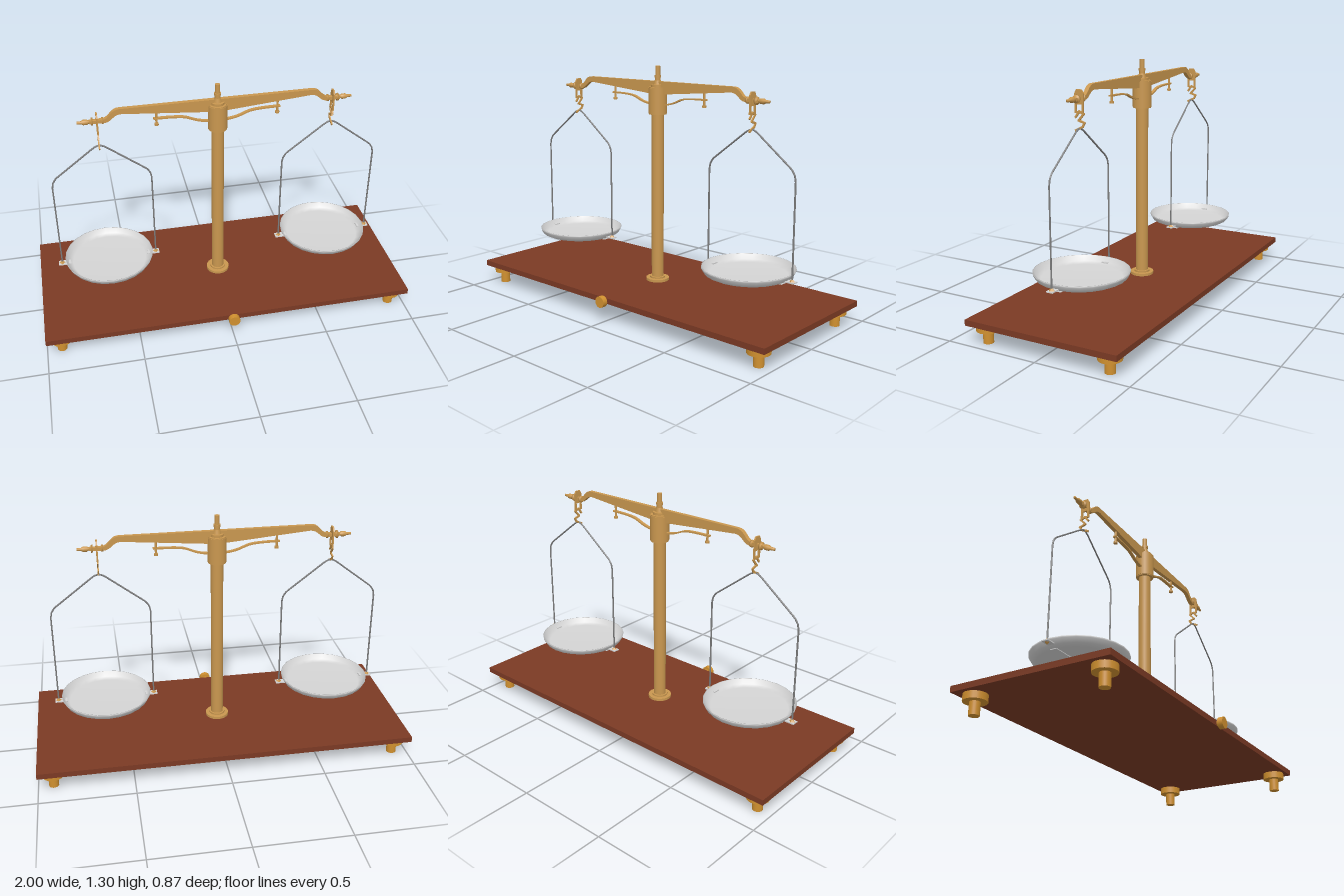
import * as THREE from 'three';

const mat = (name, color) => {
  const m = new THREE.MeshStandardMaterial({ color, side: THREE.DoubleSide });
  m.name = name;
  return m;
};

export function createModel() {
  const wood = mat('wood', 0x7b3a24);
  const brass = mat('brass', 0xc9974f);
  const gold = mat('orange brass', 0xd0902f);
  const steel = mat('steel wire', 0x808080);
  const silver = mat('pan silver', 0xd4d4d4);

  const root = new THREE.Group();
  root.name = 'balanceScale';
  const ZC = -0.015; // plane of the column, beam and pans

  const add = (parent, name, geo, m, x = 0, y = 0, z = 0) => {
    const mesh = new THREE.Mesh(geo, m);
    mesh.name = name;
    mesh.position.set(x, y, z);
    parent.add(mesh);
    return mesh;
  };
  const box = (w, h, d) => new THREE.BoxGeometry(w, h, d);
  const cyl = (rTop, rBottom, h, n = 24) => new THREE.CylinderGeometry(rTop, rBottom, h, n);
  // vertical cylinder between two heights
  const post = (parent, name, r, y0, y1, m, x = 0, z = 0, rTop = r) =>
    add(parent, name, cyl(rTop, r, y1 - y0), m, x, (y0 + y1) / 2, z);
  // plate of even thickness, centred on its own plane
  const plate = (shape, t) => {
    const g = new THREE.ExtrudeGeometry(shape, { depth: t, bevelEnabled: false, curveSegments: 10 });
    return g.translate(0, 0, -t / 2);
  };

  // base board, front knob and feet
  add(root, 'baseBoard', box(2, 0.03, 0.835), wood, 0, 0.115, -0.0175);
  add(root, 'frontKnob', cyl(0.03, 0.03, 0.028), gold, 0, 0.115, 0.424).rotation.x = Math.PI / 2;
  add(root, 'knobShaft', cyl(0.015, 0.015, 0.03), gold, 0, 0.115, 0.405).rotation.x = Math.PI / 2;
  for (const x of [-0.92, 0.92]) for (const z of [0.325, -0.355]) {
    post(root, 'footDisc', 0.058, 0.065, 0.1, gold, x, z);
    post(root, 'footPeg', 0.026, 0, 0.07, gold, x, z);
  }

  // column with flange, head and finial
  const column = new THREE.Group();
  column.name = 'column';
  column.position.z = ZC;
  root.add(column);
  post(column, 'columnFlange', 0.063, 0.13, 0.144, brass);
  post(column, 'columnCollar', 0.042, 0.144, 0.153, brass);
  post(column, 'columnShaft', 0.033, 0.15, 1.06, brass);
  post(column, 'columnHead', 0.047, 1.05, 1.195, brass);
  post(column, 'headRim', 0.05, 1.055, 1.19, brass);
  post(column, 'headCap', 0.035, 1.19, 1.208, brass);
  post(column, 'finialBase', 0.024, 1.2, 1.23, brass, 0, 0, 0.017);
  post(column, 'finialStem', 0.015, 1.22, 1.245, brass);
  post(column, 'finialRing', 0.018, 1.245, 1.257, brass);
  post(column, 'finialTip', 0.013, 1.255, 1.305, brass);

  // beam outline: flat top, tapered belly, swan-neck ends
  const s = new THREE.Shape();
  s.moveTo(-0.5, 1.225);
  s.lineTo(0.5, 1.225);
  s.bezierCurveTo(0.55, 1.222, 0.545, 1.175, 0.59, 1.174);
  s.lineTo(0.65, 1.172);
  s.lineTo(0.65, 1.157);
  s.lineTo(0.575, 1.155);
  s.bezierCurveTo(0.535, 1.16, 0.535, 1.195, 0.49, 1.196);
  s.lineTo(0.05, 1.158);
  s.lineTo(-0.05, 1.158);
  s.lineTo(-0.49, 1.196);
  s.bezierCurveTo(-0.535, 1.195, -0.535, 1.16, -0.575, 1.155);
  s.lineTo(-0.65, 1.157);
  s.lineTo(-0.65, 1.172);
  s.lineTo(-0.59, 1.174);
  s.bezierCurveTo(-0.545, 1.175, -0.55, 1.222, -0.5, 1.225);
  add(root, 'beam', plate(s, 0.022), brass, 0, 0, ZC);

  // curved rest arm under the beam: a strip swept through an S-curve
  const armHalf = [[0, 1.103], [0.06, 1.104], [0.11, 1.115], [0.17, 1.138], [0.23, 1.145], [0.33, 1.147]];
  const armLine = [...armHalf.slice(1).reverse().map(([x, y]) => [-x, y]), ...armHalf];
  const curve = new THREE.CatmullRomCurve3(armLine.map(([x, y]) => new THREE.Vector3(x, y, 0)));
  const pts = curve.getPoints(40);
  const arm = new THREE.Shape([
    ...pts.map(p => new THREE.Vector2(p.x, p.y - 0.004)),
    ...pts.slice().reverse().map(p => new THREE.Vector2(p.x, p.y + 0.004)),
  ]);
  add(root, 'restArm', plate(arm, 0.018), brass, 0, 0, ZC);

  // slotted stirrup, drawn in the z-y plane
  const stirrup = new THREE.Shape();
  stirrup.moveTo(-0.024, 1.097);
  stirrup.lineTo(0.024, 1.097);
  stirrup.lineTo(0.024, 1.19);
  stirrup.lineTo(0.014, 1.208);
  stirrup.lineTo(-0.014, 1.208);
  stirrup.lineTo(-0.024, 1.19);
  const slot = new THREE.Path([[-0.014, 1.106], [-0.014, 1.138], [0.014, 1.138], [0.014, 1.106]]
    .map(p => new THREE.Vector2(...p)));
  stirrup.holes.push(slot);

  // screw at the beam end, as a lathe along x
  const screw = new THREE.LatheGeometry([
    [0, 0.56], [0.009, 0.56], [0.009, 0.58], [0.018, 0.58], [0.018, 0.588], [0.009, 0.588],
    [0.009, 0.632], [0.02, 0.632], [0.02, 0.641], [0.009, 0.641], [0.009, 0.655], [0.014, 0.66],
    [0.014, 0.68], [0.008, 0.69], [0.007, 0.712], [0, 0.712],
  ].map(p => new THREE.Vector2(...p)), 16);

  // pan dish with rolled lip and hollow inside
  const dish = new THREE.LatheGeometry([
    [0, 0.293], [0.2, 0.293], [0.222, 0.303], [0.236, 0.33], [0.24, 0.33], [0.239, 0.322],
    [0.226, 0.3], [0.203, 0.289], [0, 0.289],
  ].map(p => new THREE.Vector2(...p)), 24);

  // wire bow from peak down to both sides
  const half = [[0.258, 0.305], [0.258, 0.8], [0.252, 0.83], [0.235, 0.855], [0.03, 1.013], [0.012, 1.022]];
  const bowPts = [...half, [0, 1.025], ...half.slice().reverse().map(([x, y]) => [-x, y])]
    .map(([x, y]) => new THREE.Vector3(x, y, 0));
  const bowPath = new THREE.CurvePath();
  for (let i = 1; i < bowPts.length; i++) bowPath.add(new THREE.LineCurve3(bowPts[i - 1], bowPts[i]));
  const bow = new THREE.TubeGeometry(bowPath, 120, 0.0045, 6);

  // zigzag hook between stirrup and bow, as z, y points
  const hook = [[0.02, 1.078], [0, 1.105], [-0.024, 1.094], [0.004, 1.062], [-0.028, 1.052], [-0.018, 1.034], [0.02, 1.015]];

  for (const side of [-1, 1]) {
    const end = new THREE.Group();
    end.name = side > 0 ? 'leftHanger' : 'rightHanger';
    end.position.set(side * 0.612, 0, ZC);
    root.add(end);

    add(root, 'beamEndScrew', screw, brass, 0, 1.165, ZC).rotation.z = -side * Math.PI / 2;
    post(root, 'restPin', 0.006, 1.115, 1.182, brass, side * 0.315, ZC);
    post(root, 'restPinHead', 0.011, 1.108, 1.119, brass, side * 0.315, ZC);

    add(end, 'stirrup', plate(stirrup, 0.008), brass).rotation.y = Math.PI / 2;
    for (let i = 1; i < hook.length; i++) {
      const [z0, y0] = hook[i - 1], [z1, y1] = hook[i];
      const link = add(end, 'hookLink', box(0.007, 0.01, Math.hypot(z1 - z0, y1 - y0) + 0.008), brass,
        0, (y0 + y1) / 2, (z0 + z1) / 2);
      link.rotation.x = -Math.atan2(y1 - y0, z1 - z0);
    }
    add(end, 'wireBow', bow, steel);
    add(end, 'pan', dish, silver);
    add(end, 'panStrap', box(0.42, 0.004, 0.035), silver, 0, 0.287, 0);
    for (const k of [-1, 1]) {
      add(end, 'strapTab', box(0.066, 0.006, 0.036), silver, k * 0.244, 0.304, 0);
      add(end, 'wireNut', new THREE.OctahedronGeometry(0.017), brass, k * 0.258, 0.306, 0);
    }
  }
  return root;
}
